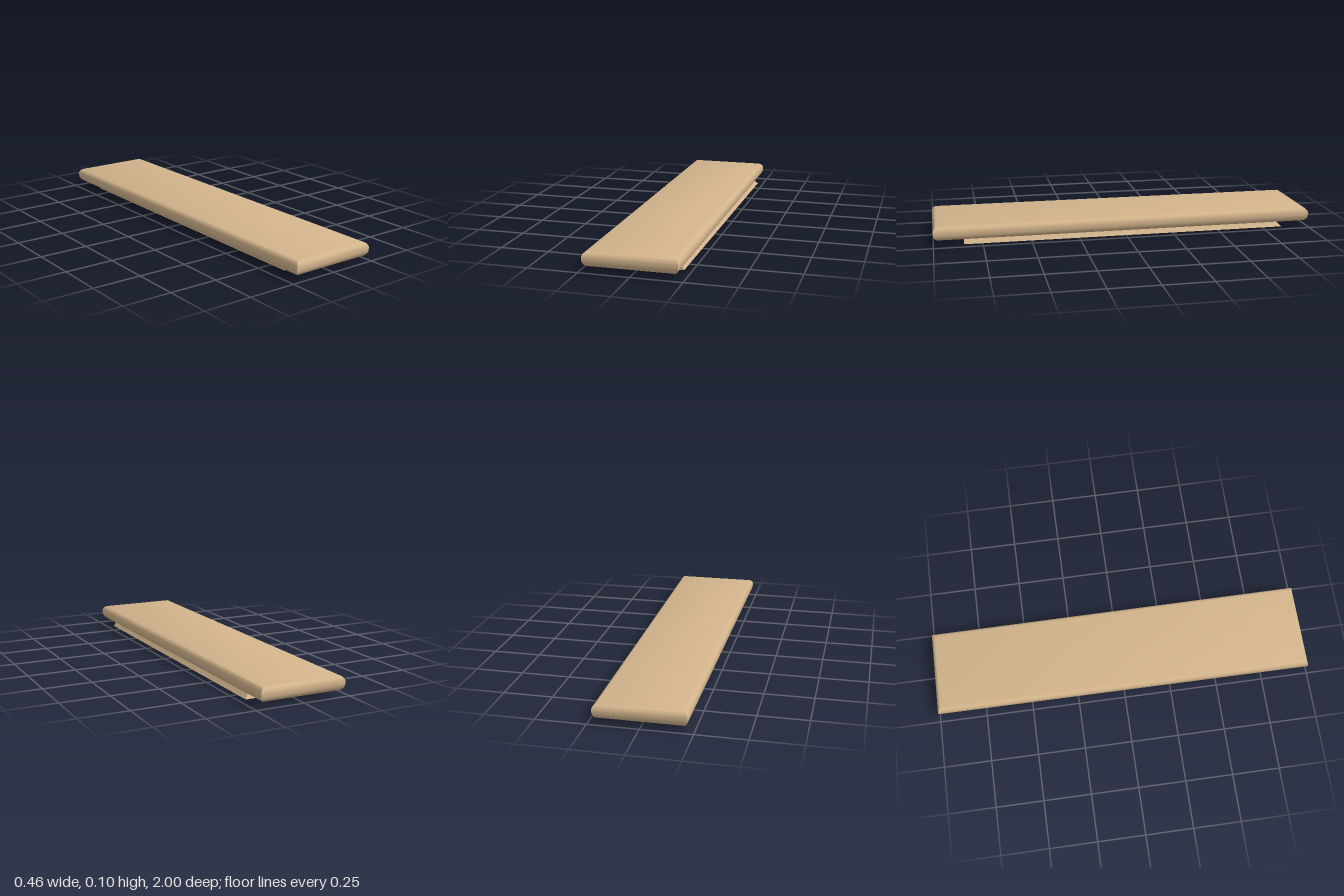
import * as THREE from 'three';
import { toCreasedNormals } from 'three/addons/utils/BufferGeometryUtils.js';

// Skin a stack of four-cornered rings (bottom to top, counter-clockwise from above)
function loft(rings, crease) {
  const index = [];
  for (let r = 0; r < rings.length - 1; r++) {
    for (let i = 0; i < 4; i++) {
      const a = r * 4 + i, b = r * 4 + (i + 1) % 4;
      index.push(a, b, b + 4, a, b + 4, a + 4);
    }
  }
  const t = (rings.length - 1) * 4;
  index.push(0, 2, 1, 0, 3, 2, t, t + 1, t + 2, t, t + 2, t + 3);
  const geo = new THREE.BufferGeometry();
  geo.setAttribute('position', new THREE.Float32BufferAttribute(rings.flat(2), 3));
  geo.setIndex(index);
  return toCreasedNormals(geo, crease);
}

export function createModel() {
  const group = new THREE.Group();
  const wood = new THREE.MeshStandardMaterial({ color: 0xd2b48c });
  const add = (name, geo) => {
    const mesh = new THREE.Mesh(geo, wood);
    mesh.name = name;
    group.add(mesh);
  };

  // Long board with rounded edges: [height, inset] profile, slightly wider at the front
  const profile = [
    [0.027, 0.027], [0.031, 0.016], [0.039, 0.008], [0.052, 0.001], [0.065, 0],
    [0.079, 0], [0.09, 0.005], [0.098, 0.013], [0.103, 0.025],
  ];
  add('board', loft(profile.map(([y, d]) => [
    [-0.23 + d, y, 1 - d],
    [0.228 - d, y, 1 - d],
    [0.224 - d, y, -1 + d],
    [-0.223 + d, y, -1 + d],
  ]), 0.75));

  // Thin, slightly uneven foot plate flaring toward its underside
  add('footPlate', loft([
    [[-0.17, 0, 0.845], [0.213, 0.003, 0.845], [0.221, 0.006, -0.85], [-0.17, 0.005, -0.845]],
    [[-0.165, 0.03, 0.845], [0.196, 0.03, 0.845], [0.2, 0.03, -0.83], [-0.165, 0.03, -0.83]],
  ], 0.4));

  return group;
}
